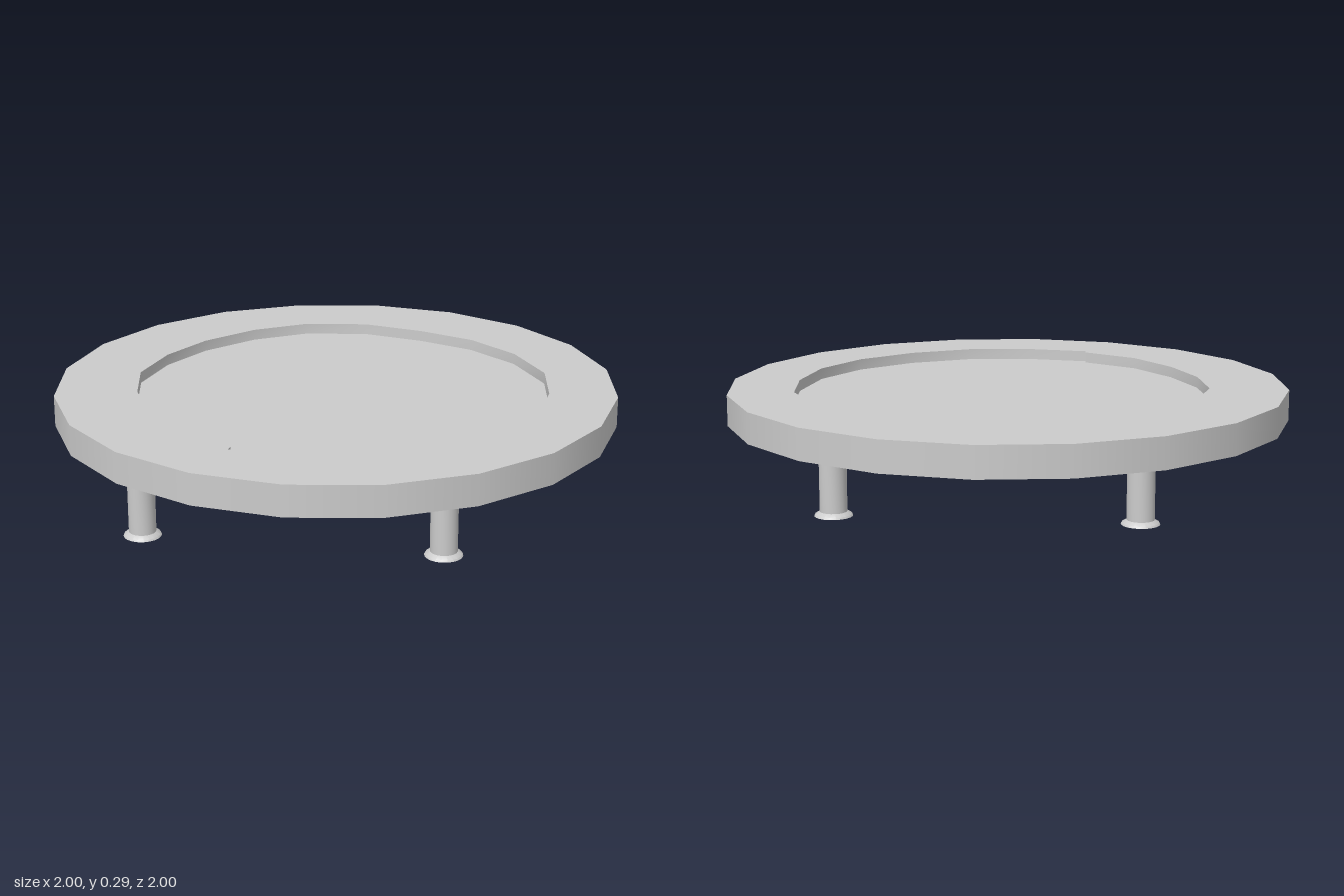
import * as THREE from 'three';
import { toCreasedNormals } from 'three/addons/utils/BufferGeometryUtils.js';

const SIDES = 20, BOTTOM = 0.18, FLOOR = 0.25, TOP = 0.29;

// Slightly uneven recess outline as [x, z], with a small notch at the front
const RECESS = [
  [0, -0.73], [0.225, -0.675], [0.43, -0.59], [0.605, -0.44], [0.73, -0.23],
  [0.76, 0], [0.73, 0.24], [0.62, 0.45], [0.445, 0.615], [0.23, 0.725],
  [0, 0.755], [-0.235, 0.725], [-0.232, 0.7], [-0.43, 0.59], [-0.575, 0.415],
  [-0.675, 0.215], [-0.72, 0], [-0.675, -0.22], [-0.575, -0.415],
  [-0.42, -0.585], [-0.23, -0.7],
];

// Flat horizontal face from a shape drawn as (x, -z)
function flatFace(shape, y) {
  return new THREE.ShapeGeometry(shape).rotateX(-Math.PI / 2).translate(0, y, 0);
}

// Vertical wall following the outline, facing inwards
function innerWall(points, y0, y1) {
  const pos = [];
  points.forEach(([ax, az], i) => {
    const [bx, bz] = points[(i + 1) % points.length];
    pos.push(ax, y0, az, bx, y0, bz, bx, y1, bz);
    pos.push(ax, y0, az, bx, y1, bz, ax, y1, az);
  });
  const geo = new THREE.BufferGeometry();
  geo.setAttribute('position', new THREE.Float32BufferAttribute(pos, 3));
  return toCreasedNormals(geo, 0.6);
}

export function createModel() {
  const group = new THREE.Group();
  const material = new THREE.MeshStandardMaterial({ color: 0xcccccc, side: THREE.DoubleSide });
  const add = (name, geo, parent = group) => {
    const mesh = new THREE.Mesh(geo, material);
    mesh.name = name;
    parent.add(mesh);
    return mesh;
  };

  // Tray: outer side, underside, rim, recess wall and floor
  const tray = new THREE.Group();
  tray.name = 'tray';
  group.add(tray);
  const side = new THREE.CylinderGeometry(1, 1, TOP - BOTTOM, SIDES, 1, true);
  add('outerSide', side.translate(0, (TOP + BOTTOM) / 2, 0), tray);
  add('underside', new THREE.CircleGeometry(1, SIDES).rotateX(Math.PI / 2).translate(0, BOTTOM, 0), tray);

  const outline = RECESS.map(([x, z]) => new THREE.Vector2(x, -z));
  const rim = new THREE.Shape();
  for (let i = 0; i < SIDES; i++) {
    const a = (i / SIDES) * Math.PI * 2;
    rim[i ? 'lineTo' : 'moveTo'](Math.cos(a), Math.sin(a));
  }
  rim.closePath();
  rim.holes.push(new THREE.Path(outline));
  add('rim', flatFace(rim, TOP), tray);
  add('recessWall', innerWall(RECESS, FLOOR, TOP), tray);
  add('recessFloor', flatFace(new THREE.Shape(outline), FLOOR), tray);

  // Four round legs with thin flared feet
  const profile = [[0, 0], [0.063, 0], [0.06, 0.006], [0.045, 0.015], [0.045, BOTTOM]]
    .map(([r, y]) => new THREE.Vector2(r, y));
  const leg = toCreasedNormals(new THREE.LatheGeometry(profile, 20), 0.6);
  for (const x of [-0.51, 0.48]) {
    for (const z of [-0.795, 0.795]) {
      const name = (z > 0 ? 'front' : 'back') + (x > 0 ? 'Left' : 'Right') + 'Leg';
      add(name, leg).position.set(x, 0, z);
    }
  }
  return group;
}
